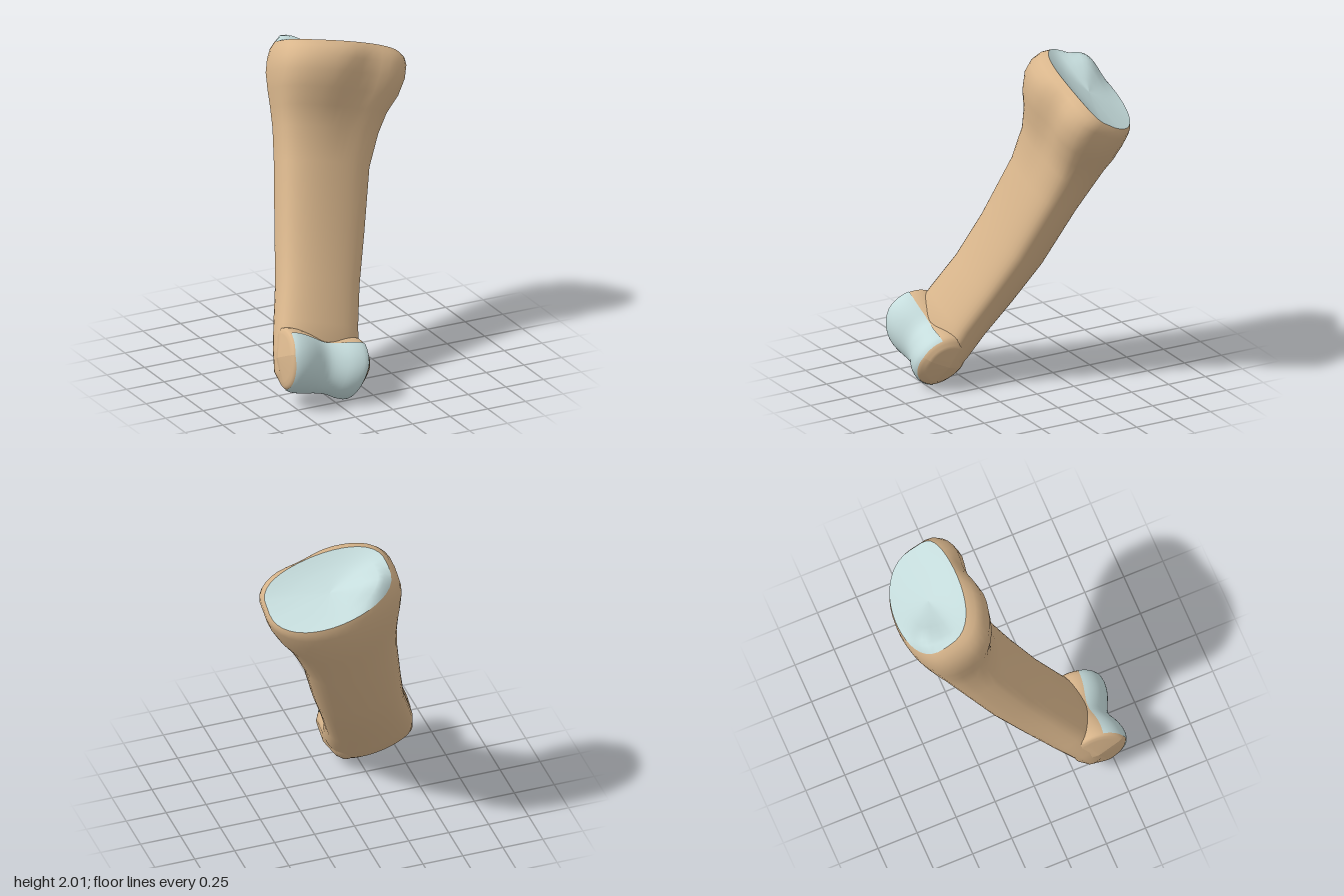
import * as THREE from 'three';

const SIDES = 40;

// Skin a list of closed rings (each an array of Vector3) with smooth normals
function loft(rings) {
  const pos = [], idx = [];
  rings.forEach(r => r.forEach(p => pos.push(p.x, p.y, p.z)));
  for (let i = 0; i < rings.length - 1; i++) {
    for (let j = 0; j < SIDES; j++) {
      const k = (j + 1) % SIDES;
      const a = i * SIDES + j, b = i * SIDES + k, c = a + SIDES, d = b + SIDES;
      idx.push(a, c, b, b, c, d);
    }
  }
  const g = new THREE.BufferGeometry();
  g.setAttribute('position', new THREE.Float32BufferAttribute(pos, 3));
  g.setIndex(idx);
  g.computeVertexNormals();
  return g;
}

// D-shaped section: rounded behind, flatter in front, with an optional front groove;
// near the top the ring slopes sideways and lifts at its front corner
function section([t, uMin, uMax, back, front, mid, groove]) {
  const ring = [], uc = (uMin + uMax) / 2, hu = (uMax - uMin) / 2;
  const top = Math.max(0, t - 1.8) / 0.09;
  for (let j = 0; j < SIDES; j++) {
    const th = j / SIDES * Math.PI * 2, s = Math.sin(th), c = Math.cos(th);
    const u = uc + hu * c;
    let v = s > 0 ? mid + (front - mid) * Math.pow(s, 0.6 - 0.1 * c) : mid + (back - mid) * Math.pow(-s, 0.82 + 0.1 * c);
    if (s > 0) v -= groove * s * Math.exp(-(((u - 0.15) / 0.12) ** 2));
    const lift = 0.05 * Math.max(0, s) * (0.5 + 0.5 * c) - 0.06 * u;
    ring.push(new THREE.Vector3(u, t + top * lift, v));
  }
  return ring;
}

// Turn a profile about the crosswise axis, narrow it towards its end and back,
// raise one condyle and deepen the groove in front
function turnedHead(profile, segments, start, sweep) {
  const g = new THREE.LatheGeometry(profile, segments, start, sweep);
  g.rotateZ(-Math.PI / 2);
  const p = g.attributes.position;
  for (let i = 0; i < p.count; i++) {
    const x = p.getX(i), y = p.getY(i), z = p.getZ(i);
    p.setX(i, x * (1 - 0.9 * Math.max(0, -y)) * (1 + 0.7 * Math.min(0, z)));
    p.setY(i, y - 0.08 * Math.min(0, x));
    p.setZ(i, z * (z < 0 ? 0.78 : 1 - 0.2 * Math.exp(-((x / 0.1) ** 2))));
  }
  g.computeVertexNormals();
  return g;
}

export function createModel() {
  const model = new THREE.Group();
  const bone = new THREE.MeshStandardMaterial({ color: 0xd9b68c });
  const cartilage = new THREE.MeshStandardMaterial({ color: 0xc5dcdc, side: THREE.DoubleSide });

  // Leaning frame: x across, y along the bone, z towards its front face
  const body = new THREE.Group();
  body.name = 'fingerBone';
  const u = new THREE.Vector3(0.965, -0.252, 0.061).normalize();
  const a = new THREE.Vector3(0.253, 0.868, -0.432).normalize();
  const v = new THREE.Vector3().crossVectors(u, a).normalize();
  body.quaternion.setFromRotationMatrix(new THREE.Matrix4().makeBasis(u, a, v));
  body.position.set(-0.32, 0.222, 0.41);
  model.add(body);

  const add = (name, geometry, material) => {
    const m = new THREE.Mesh(geometry, material);
    m.name = name;
    body.add(m);
  };

  // Shaft from the back of the head to the base: height, left/right, back/front, widest line, groove
  const sections = [
    [-0.147, -0.01, 0.01, -0.07, -0.05, -0.06, 0],
    [-0.143, -0.17, 0.18, -0.10, -0.03, -0.06, 0],
    [-0.11, -0.215, 0.22, -0.14, 0, -0.06, 0],
    [-0.05, -0.25, 0.25, -0.17, 0.03, -0.05, 0],
    [0.08, -0.262, 0.274, -0.192, 0.08, -0.04, 0],
    [0.24, -0.25, 0.262, -0.22, 0.08, -0.06, 0],
    [0.50, -0.23, 0.275, -0.262, 0.06, -0.08, 0],
    [0.80, -0.235, 0.30, -0.29, 0.06, -0.09, 0],
    [1.20, -0.255, 0.315, -0.287, 0.085, -0.08, 0],
    [1.40, -0.28, 0.35, -0.287, 0.13, -0.05, 0.01],
    [1.52, -0.31, 0.38, -0.286, 0.19, -0.02, 0.03],
    [1.62, -0.345, 0.425, -0.283, 0.26, 0.02, 0.05],
    [1.72, -0.37, 0.45, -0.272, 0.305, 0.04, 0.05],
    [1.80, -0.367, 0.455, -0.257, 0.315, 0.04, 0.04],
    [1.85, -0.35, 0.45, -0.24, 0.295, 0.03, 0.02],
    [1.882, -0.325, 0.43, -0.222, 0.25, 0.02, 0],
  ];
  const rings = sections.map(section);
  add('shaft', loft(rings), bone);

  // Shallow dished joint surface on the base, with a raised back corner
  const rim = rings[rings.length - 1];
  const centre = new THREE.Vector3(0.05, 1.86, 0.01);
  const dish = [1, 0.9, 0.8, 0.68, 0.55, 0.3, 0.001].map(k => rim.map(p => {
    const q = centre.clone().lerp(p, k);
    q.y = centre.y + (p.y - centre.y) * k * k;
    if (k < 1) q.y += 0.07 * Math.exp(-(((q.x + 0.2) / 0.15) ** 2) - ((q.z + 0.07) / 0.1) ** 2);
    return q;
  }));
  add('baseJointSurface', loft(dish), cartilage);

  // Two-condyle head turned about the crosswise axis
  const profile = new THREE.CatmullRomCurve3([
    [0.14, -0.264], [0.175, -0.253], [0.188, -0.205], [0.18, -0.11], [0.163, 0],
    [0.165, 0.08], [0.181, 0.17], [0.178, 0.24], [0.13, 0.278],
  ].map(([r, x]) => new THREE.Vector3(r, x, 0))).getPoints(28).map(p => new THREE.Vector2(p.x, p.y));
  const closed = [new THREE.Vector2(0, -0.27), ...profile, new THREE.Vector2(0, 0.285)];
  add('head', turnedHead(closed, 40, 0, Math.PI * 2), bone);

  // Pulley-shaped joint surface wrapping the front and end of the head
  const pulley = profile.filter(p => p.y > -0.255 && p.y < 0.25).map(p => new THREE.Vector2(p.x + 0.005, p.y));
  add('headJointSurface', turnedHead(pulley, 28, -0.85, 2.75), cartilage);

  return model;
}
